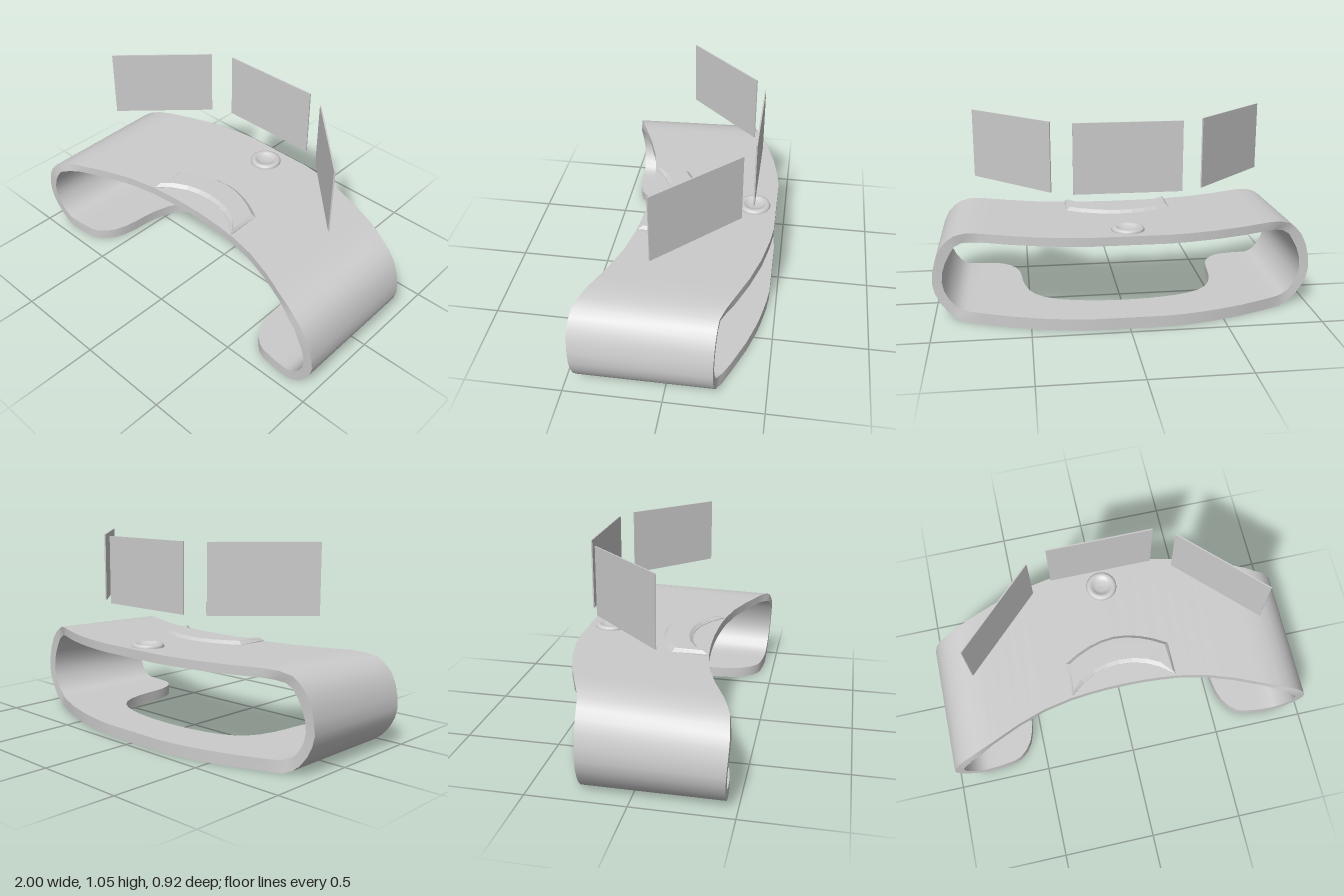
import * as THREE from 'three';
import { toCreasedNormals } from 'three/addons/utils/BufferGeometryUtils.js';

const material = new THREE.MeshStandardMaterial({ color: 0xcccccc });
const doubleSided = new THREE.MeshStandardMaterial({ color: 0xcccccc, side: THREE.DoubleSide });

function addMesh(group, name, geometry, mat = material) {
  const mesh = new THREE.Mesh(geometry, mat);
  mesh.name = name;
  group.add(mesh);
  return mesh;
}

// Piecewise linear lookup in a list of [x, z] stops
function lookup(stops, x) {
  let i = 1;
  while (i < stops.length - 1 && x > stops[i][0]) i++;
  const [x0, z0] = stops[i - 1], [x1, z1] = stops[i];
  return THREE.MathUtils.lerp(z0, z1, THREE.MathUtils.clamp((x - x0) / (x1 - x0), 0, 1));
}

const backEdge = [[0, -0.46], [0.2, -0.46], [0.3, -0.448], [0.45, -0.418], [0.6, -0.372], [0.75, -0.312], [0.88, -0.256], [1, -0.245]];
const topFront = [[0, 0.235], [0.15, 0.238], [0.3, 0.254], [0.45, 0.284], [0.6, 0.335], [0.75, 0.4], [0.87, 0.445], [0.95, 0.458], [1, 0.458]];

// Band-shaped desk: each column joins outer and inner skin, front and back edge
function deskGeometry() {
  const half = []; // [outer x, outer y, inner x, inner y, front z, back z]
  const column = (xo, yo, xi, yi, zf) => half.push([xo, yo, xi, yi, zf, lookup(backEdge, xo)]);

  // Top slab
  for (const x of [0, 0.1, 0.2, 0.3, 0.375, 0.45, 0.525, 0.6, 0.675, 0.75])
    column(x, 0.484, x, 0.439, lookup(topFront, x));
  // Rounded end
  for (const [xo, yo, xi, yi] of [
    [0.82, 0.478, 0.8, 0.433], [0.875, 0.46, 0.84, 0.422], [0.915, 0.432, 0.878, 0.4],
    [0.95, 0.392, 0.903, 0.362], [0.977, 0.335, 0.928, 0.315], [0.994, 0.27, 0.945, 0.262],
    [1, 0.205, 0.95, 0.21], [0.988, 0.15, 0.94, 0.163], [0.962, 0.098, 0.918, 0.12],
    [0.925, 0.05, 0.89, 0.085], [0.885, 0.018, 0.86, 0.066], [0.84, 0, 0.83, 0.06],
  ]) column(xo, yo, xi, yi, Math.min(lookup(topFront, xo), 0.44 + 0.055 * yo));
  half[half.length - 1][4] = 0.44;
  // Bottom slab with the leg cutout
  for (const [x, z] of [
    [0.76, 0.436], [0.68, 0.425], [0.64, 0.41], [0.6, 0.375], [0.57, 0.33], [0.55, 0.27],
    [0.54, 0.2], [0.535, 0.13], [0.525, 0.06], [0.5, -0.03], [0.47, -0.085], [0.42, -0.135],
    [0.36, -0.168], [0.28, -0.195], [0.19, -0.212], [0.1, -0.222], [0, -0.226],
  ]) column(x, 0, x, 0.06, z);

  const mirrored = half.slice(1, -1).reverse().map(([a, b, c, ...rest]) => [-a, b, -c, ...rest]);
  const columns = [...half, ...mirrored];
  const positions = [], index = [];
  const put = (x, y, z) => positions.push(x, y * (1 - 0.055 * z), z); // top rises toward the back
  for (const [xo, yo, xi, yi, zf, zb] of columns) {
    put(xo, yo, zf);
    put(xo, yo, zb);
    put(xi, yi, zb);
    put(xi, yi, zf);
  }
  columns.forEach((_, i) => {
    const j = (i + 1) % columns.length;
    for (let k = 0; k < 4; k++) {
      const m = (k + 1) % 4;
      const a = i * 4 + k, b = j * 4 + k, c = j * 4 + m, d = i * 4 + m;
      index.push(a, b, c, a, c, d);
    }
  });
  const geometry = new THREE.BufferGeometry();
  geometry.setAttribute('position', new THREE.Float32BufferAttribute(positions, 3));
  geometry.setIndex(index);
  return toCreasedNormals(geometry, 0.5);
}

// Curved control console with bevelled rim
function consoleGeometry() {
  const rim = [[0, -0.04], [0.07, -0.033], [0.14, -0.014], [0.21, 0.016], [0.285, 0.06],
    [0.285, 0.245], [0.21, 0.185], [0.14, 0.148], [0.07, 0.13], [0, 0.124]];
  const left = rim.slice(1, -1).reverse().map(([x, z]) => [-x, z]);
  const shape = new THREE.Shape([...rim, ...left].map(([x, z]) => new THREE.Vector2(x, -z)));
  const geometry = new THREE.ExtrudeGeometry(shape, {
    depth: 0.01, bevelEnabled: true, bevelSegments: 1, bevelSize: 0.02, bevelOffset: -0.02, bevelThickness: 0.017,
  });
  return geometry.rotateX(-Math.PI / 2);
}

export function createModel() {
  const group = new THREE.Group();
  group.name = 'curvedDesk';

  addMesh(group, 'deskBody', deskGeometry());
  addMesh(group, 'console', consoleGeometry()).position.y = 0.473;

  // Dished round knob
  const profile = [[0.085, 0], [0.085, 0.02], [0.081, 0.028], [0.073, 0.033], [0.062, 0.034],
    [0.053, 0.03], [0.045, 0.023], [0.03, 0.018], [0, 0.016]].map(([r, y]) => new THREE.Vector2(r, y));
  addMesh(group, 'knob', new THREE.LatheGeometry(profile, 32), doubleSided).position.set(0, 0.478, -0.343);

  // Floating screens
  for (const side of [-1, 0, 1]) {
    const name = ['rightScreen', 'centreScreen', 'leftScreen'][side + 1];
    const screen = addMesh(group, name, new THREE.BoxGeometry(0.548, 0.358, 0.007));
    screen.position.set(side * 0.575, 0.869, side ? -0.108 : -0.354);
    screen.rotation.y = -side * Math.PI / 4;
  }
  return group;
}
